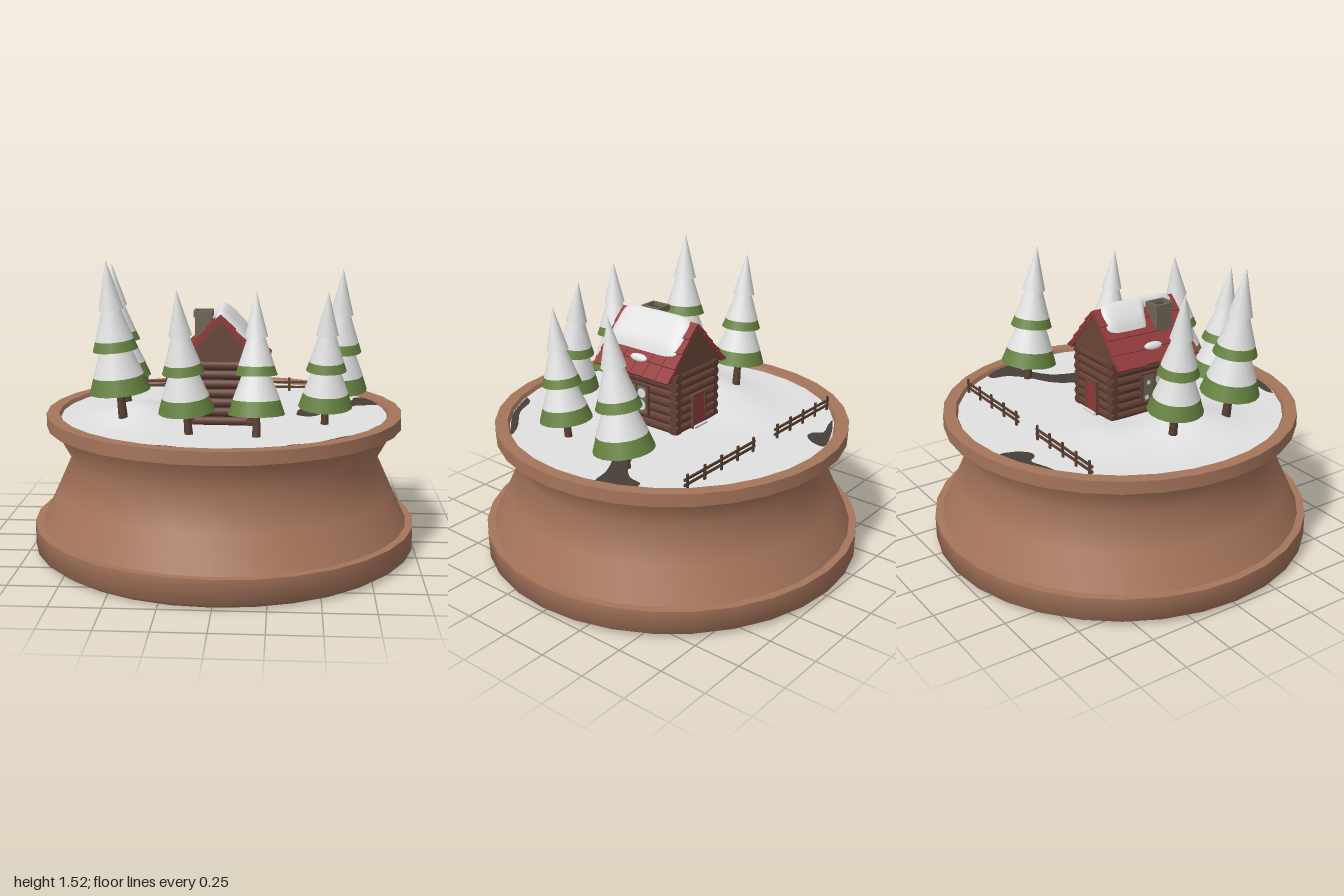
import * as THREE from 'three';
import { toCreasedNormals } from 'three/addons/utils/BufferGeometryUtils.js';

const paint = (name, color, side = THREE.FrontSide) => {
  const m = new THREE.MeshStandardMaterial({ color, side });
  m.name = name;
  return m;
};

export function createModel() {
  const wood = paint('baseWood', 0xa5745b);
  const snow = paint('snow', 0xe0e0e0, THREE.DoubleSide);
  const dirt = paint('bareEarth', 0x463e37, THREE.DoubleSide);
  const green = paint('needleGreen', 0x65823f);
  const bark = paint('bark', 0x5a4032);
  const log = paint('logBrown', 0x623f33);
  const board = paint('boardBrown', 0x694739);
  const red = paint('shingleRed', 0x923a3a);
  const stone = paint('stoneGrey', 0x716657);

  const model = new THREE.Group();
  model.name = 'winterCabinOnStand';
  const group = (name, parent = model) => {
    const g = new THREE.Group();
    g.name = name;
    parent.add(g);
    return g;
  };
  const add = (name, geo, mat, parent, x = 0, y = 0, z = 0) => {
    const m = new THREE.Mesh(geo, mat);
    m.name = name;
    m.position.set(x, y, z);
    parent.add(m);
    return m;
  };
  const box = (name, mat, parent, w, h, d, x, y, z) =>
    add(name, new THREE.BoxGeometry(w, h, d), mat, parent, x, y, z);
  const outline = (pts) => new THREE.Shape(pts.map(([x, y]) => new THREE.Vector2(x, y)));

  // turned wooden stand with a raised lip
  const profile = [[0, 0], [0.965, 0], [1, 0.025], [1, 0.145], [0.96, 0.145], [0.88, 0.315],
    [0.8, 0.49], [0.89, 0.655], [0.925, 0.655], [0.925, 0.72], [0.86, 0.72], [0.84, 0.68]];
  const lathe = new THREE.LatheGeometry(profile.map(([r, y]) => new THREE.Vector2(r, y)), 32);
  add('stand', toCreasedNormals(lathe, 1.05), wood, model);

  // snowy ground with soft drifts
  const bump = (x, z, cx, cz, sx, sz) => Math.exp(-(((x - cx) / sx) ** 2 + ((z - cz) / sz) ** 2) / 2);
  const ground = (x, z) => 0.7 + 0.075 * bump(x, z, -0.43, 0.13, 0.13, 0.18)
    + 0.025 * bump(x, z, -0.3, -0.28, 0.14, 0.1);
  const field = new THREE.RingGeometry(0, 0.852, 48, 16).rotateX(-Math.PI / 2);
  const fp = field.attributes.position;
  for (let i = 0; i < fp.count; i++) fp.setY(i, ground(fp.getX(i), fp.getZ(i)));
  field.computeVertexNormals();
  add('snowField', field, snow, model);

  // bare earth patches, given as x, z outlines
  const patches = [
    [[-0.5, -0.68], [-0.36, -0.76], [-0.19, -0.825], [-0.19, -0.75], [-0.24, -0.69], [-0.29, -0.69], [-0.33, -0.73], [-0.42, -0.7]],
    [[0.38, 0.08], [0.39, -0.04], [0.46, -0.14], [0.6, -0.22], [0.68, -0.3], [0.7, -0.38], [0.76, -0.37],
      [0.82, -0.21], [0.7, -0.17], [0.56, -0.08], [0.49, 0.08], [0.43, 0.11]],
    [[0.3, 0.785], [0.34, 0.72], [0.47, 0.66], [0.6, 0.54], [0.69, 0.485], [0.65, 0.54], [0.5, 0.68]],
    [[-0.35, 0.765], [-0.3, 0.75], [-0.2, 0.77], [-0.11, 0.82], [-0.12, 0.835], [-0.25, 0.805]],
  ];
  for (const p of patches) {
    const curve = new THREE.SplineCurve([...p, p[0]].map(([x, z]) => new THREE.Vector2(x, -z)));
    const geo = new THREE.ShapeGeometry(new THREE.Shape(curve.getPoints(50))).rotateX(-Math.PI / 2);
    add('earthPatch', geo, dirt, model, 0, 0.705, 0);
  }

  // leaning snowy firs: tip x, y, z, lowest ring centre x, z, scale
  const firs = [
    [-0.59, 1.47, -0.04, -0.53, -0.04, 0.92], [-0.555, 1.52, 0.355, -0.5, 0.325, 1],
    [-0.19, 1.4, 0.57, -0.15, 0.52, 0.9], [0.18, 1.39, 0.48, 0.185, 0.535, 0.9],
    [0.525, 1.37, 0.325, 0.52, 0.265, 0.89], [0.615, 1.44, -0.12, 0.605, -0.2, 1],
  ];
  // name, material, bottom radius, top radius, bottom y, top y
  const tiers = [
    ['trunk', bark, 0.024, 0.018, -0.03, 0.15],
    ['lowerNeedles', green, 0.152, 0.125, 0.12, 0.2], ['lowerSnow', snow, 0.127, 0.065, 0.2, 0.36],
    ['middleNeedles', green, 0.113, 0.095, 0.33, 0.38], ['middleSnow', snow, 0.096, 0.04, 0.38, 0.55],
    ['topSnow', snow, 0.062, 0.001, 0.53, 0.77],
  ];
  for (const [tx, ty, tz, rx, rz, s] of firs) {
    const fir = group('fir');
    const dir = new THREE.Vector3(tx - rx, 0.65 * s, tz - rz).normalize();
    fir.position.set(tx, ty, tz).addScaledVector(dir, -0.77 * s);
    fir.quaternion.setFromUnitVectors(new THREE.Vector3(0, 1, 0), dir);
    fir.scale.setScalar(s);
    for (const [name, mat, r0, r1, y0, y1] of tiers)
      add(name, new THREE.CylinderGeometry(r1, r0, y1 - y0, 20), mat, fir, 0, (y0 + y1) / 2, 0);
  }

  // two runs of rail fence
  for (const [x0, x1] of [[-0.62, -0.11], [0.06, 0.62]]) {
    const fence = group('fence');
    for (let i = 0; i < 5; i++)
      box('fencePost', bark, fence, 0.014, 0.08, 0.008, x0 + 0.02 + (x1 - x0 - 0.04) * i / 4, 0.738, -0.58);
    for (const y of [0.724, 0.751])
      box('fenceRail', bark, fence, x1 - x0, 0.012, 0.008, (x0 + x1) / 2, y, -0.576);
  }

  // log walls
  const cabin = group('cabin');
  const midZ = 0.075;
  for (let i = 0; i < 7; i++) {
    const y = 0.718 + i * 0.047;
    for (const s of [-1, 1]) {
      const side = new THREE.CylinderGeometry(0.025, 0.025, 0.49, 10).rotateX(Math.PI / 2);
      add('sideLog', side, log, cabin, s * 0.15, y, midZ);
      const end = new THREE.CylinderGeometry(0.025, 0.025, 0.35, 10).rotateZ(Math.PI / 2);
      add('endLog', end, log, cabin, 0, y, midZ + s * 0.222);
    }
  }
  const gable = outline([[-0.175, 1.015], [0.175, 1.015], [0.175, 1.045], [0, 1.235], [-0.175, 1.045]]);
  add('gable', new THREE.ExtrudeGeometry(gable, { depth: 0.47, bevelEnabled: false }), board, cabin, 0, 0, midZ - 0.235);

  // shingled roof slopes, mirrored by a half turn
  for (const turn of [0, Math.PI]) {
    const pivot = group('roofSide', cabin);
    pivot.position.set(0, 1.245, midZ + 0.005);
    pivot.rotation.y = turn;
    const slope = group('roofSlope', pivot);
    slope.rotation.z = -Math.atan2(0.25, 0.23);
    box('roofDeck', red, slope, 0.33, 0.014, 0.488, 0.165, -0.006, 0);
    for (let r = 0; r < 4; r++) for (let c = 0; c < 6; c++) {
      const jitter = ((r * 5 + c * 3) % 4) * 0.003;
      const tile = box('shingle', red, slope, 0.092 + jitter, 0.012, 0.08, 0.045 + r * 0.083, 0.006, (c - 2.5) * 0.083);
      tile.rotation.z = 0.09;
    }
    const tuft = add('roofSnowTuft', new THREE.SphereGeometry(1, 12, 8), snow, slope, 0.25, 0.016, turn ? 0 : -0.01);
    tuft.scale.set(0.022, 0.014, 0.055);
  }

  // thick snow draped over the ridge, narrower beside the chimney
  const drape = new THREE.PlaneGeometry(2, 2, 24, 36).rotateX(-Math.PI / 2);
  const dp = drape.attributes.position;
  for (let i = 0; i < dp.count; i++) {
    const u = dp.getX(i), v = dp.getZ(i);
    const z = 0.092 + 0.225 * v;
    const left = -0.11 + 0.075 * THREE.MathUtils.smoothstep(z, 0.085, 0.13);
    const corner = 1 - 0.12 * v ** 8;
    const x = (left + 0.15) / 2 + (0.15 - left) / 2 * u * corner;
    const lift = 0.035 * (1 - u ** 8) * (1 - v ** 8);
    dp.setXYZ(i, x, 1.238 - 1.087 * (Math.hypot(x, 0.025) - 0.025) + lift, z);
  }
  drape.computeVertexNormals();
  add('roofSnow', drape, snow, cabin);

  // chimney with an open cap
  const chimney = group('chimney', cabin);
  chimney.position.set(-0.092, 0, 0.185);
  box('chimneyStack', stone, chimney, 0.08, 0.18, 0.095, 0, 1.145, 0);
  box('chimneyFlue', dirt, chimney, 0.065, 0.006, 0.08, 0, 1.238, 0);
  for (const s of [-1, 1]) {
    box('capSide', stone, chimney, 0.014, 0.03, 0.112, s * 0.041, 1.246, 0);
    box('capEnd', stone, chimney, 0.07, 0.03, 0.014, 0, 1.246, s * 0.049);
  }

  // side windows with frames and drifted snow
  for (const s of [-1, 1]) {
    const win = group('window', cabin);
    win.position.set(s * 0.178, 0.847, 0.087);
    win.rotation.y = s * Math.PI / 2;
    box('pane', stone, win, 0.146, 0.155, 0.008, 0, 0, 0);
    for (const k of [-1, 0, 1])
      box('upright', log, win, k ? 0.012 : 0.006, 0.16, 0.014, k * 0.073, 0, 0);
    for (const k of [-1, 1])
      box('crossbar', log, win, 0.158, 0.01, 0.014, 0, k * 0.078, 0);
    for (const [x, y, r] of [[0.035, 0.035, 0.026], [0.03, -0.03, 0.03], [-0.035, 0.03, 0.012], [-0.045, -0.05, 0.014]])
      add('paneSnow', new THREE.CircleGeometry(r, 14), snow, win, x, y, 0.006);
  }

  // back door
  const door = group('door', cabin);
  door.position.set(0, 0.79, -0.176);
  box('doorPanel', red, door, 0.085, 0.17, 0.012, 0, 0, 0);
  for (const s of [-1, 1]) box('doorJamb', board, door, 0.012, 0.18, 0.018, s * 0.048, 0, 0);
  box('doorLintel', board, door, 0.115, 0.014, 0.02, 0, 0.092, 0);
  box('doorStepSnow', snow, door, 0.1, 0.012, 0.025, 0, -0.08, -0.008);

  return model;
}
